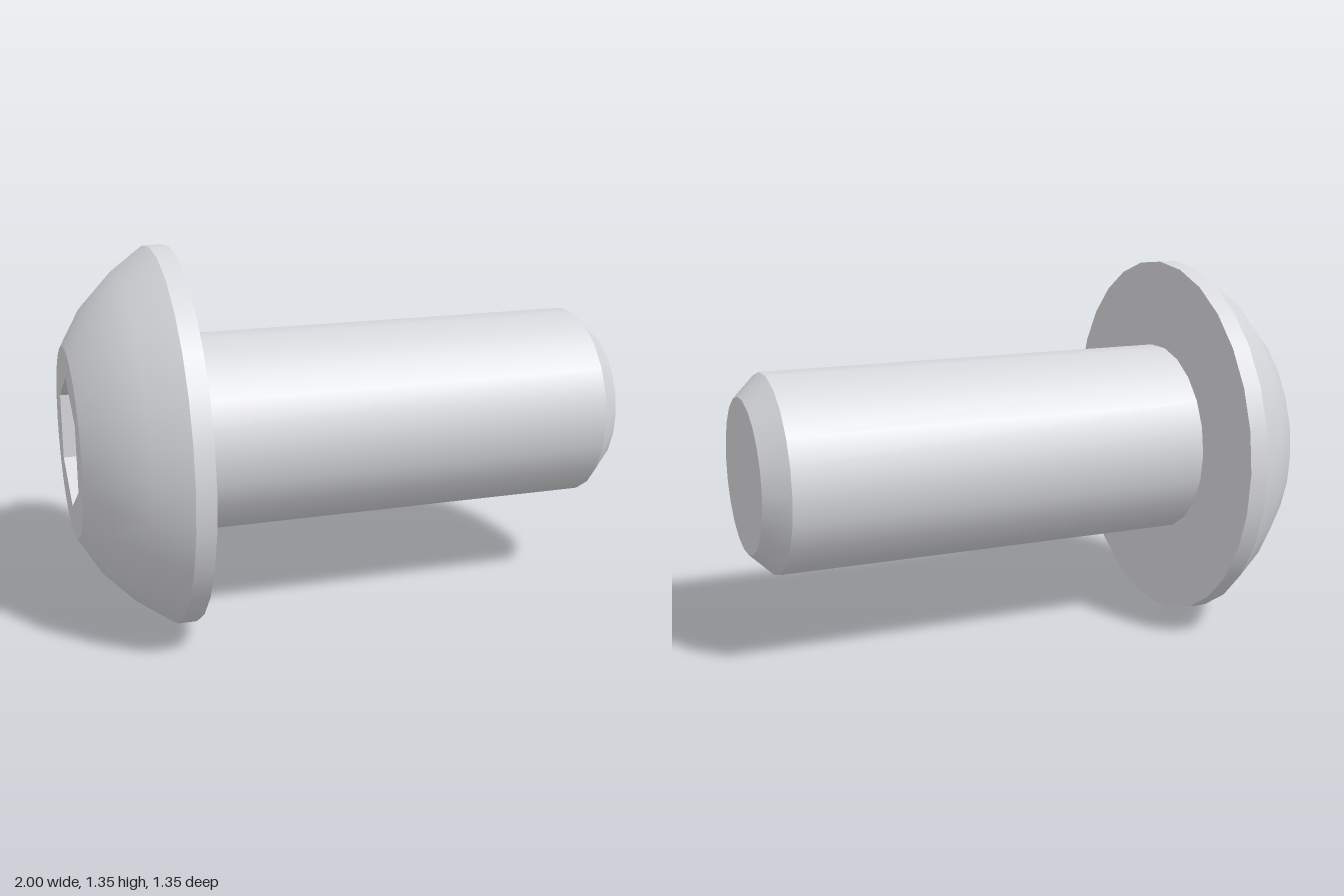
import * as THREE from 'three';

const HEAD_SIDES = 28, SHANK_SIDES = 22;
const HEAD_R = 0.675, FACE_R = 0.34, SHANK_R = 0.355, TIP_R = 0.276;
const HEX_R = 0.237, HEX_DEPTH = 0.227;
const FACE_X = -1, RIM_X = -0.69, SEAT_X = -0.622, CHAMFER_X = 0.918, TIP_X = 1;

export function createModel() {
  const steel = new THREE.MeshStandardMaterial({ color: 0xd7d8dc });
  steel.name = 'steel';
  const screw = new THREE.Group();
  screw.name = 'buttonHeadScrew';

  const add = (name, geometry) => {
    const mesh = new THREE.Mesh(geometry, steel);
    mesh.name = name;
    screw.add(mesh);
  };

  // Turned surface around the x axis; the profile is a list of [x, radius]
  const turn = (profile, sides, phi = 0) =>
    new THREE.LatheGeometry(profile.map(([x, r]) => new THREE.Vector2(r, x)), sides, phi)
      .rotateZ(-Math.PI / 2);

  // Turns a flat shape to face the head end and moves it to its place on the axis
  const faceHeadEnd = (geometry, x) => geometry.rotateY(-Math.PI / 2).translate(x, 0, 0);

  const ring = (radius, sides) => Array.from({ length: sides }, (_, i) => {
    const a = Math.PI / 2 + (i / sides) * Math.PI * 2;
    return new THREE.Vector2(radius * Math.cos(a), radius * Math.sin(a));
  });

  // Head: flat face with a hexagonal opening, dome, rim and underside
  const face = new THREE.Shape(ring(FACE_R, HEAD_SIDES));
  face.holes.push(new THREE.Path(ring(HEX_R, 6)));
  add('headFace', faceHeadEnd(new THREE.ShapeGeometry(face), FACE_X));
  add('headDome', turn([[FACE_X, FACE_R], [-0.92, 0.475], [-0.81, 0.588], [RIM_X, HEAD_R]], HEAD_SIDES));
  add('headRim', turn([[RIM_X, HEAD_R], [SEAT_X, HEAD_R]], HEAD_SIDES));
  add('headUnderside', turn([[SEAT_X, HEAD_R], [SEAT_X, SHANK_R - 0.02]], HEAD_SIDES));

  // Hexagonal socket: flat inward-facing walls and floor
  const floorX = FACE_X + HEX_DEPTH;
  const walls = turn([[floorX, HEX_R], [FACE_X, HEX_R]], 6, Math.PI / 2).toNonIndexed();
  walls.computeVertexNormals();
  add('socketWalls', walls);
  add('socketFloor', faceHeadEnd(new THREE.CircleGeometry(HEX_R, 6, Math.PI / 2), floorX));

  // Shank with chamfered tip
  add('shank', turn([[SEAT_X, SHANK_R], [CHAMFER_X, SHANK_R]], SHANK_SIDES));
  add('tipChamfer', turn([[CHAMFER_X, SHANK_R], [TIP_X, TIP_R]], SHANK_SIDES));
  add('tipFace', turn([[TIP_X, TIP_R], [TIP_X, 0]], SHANK_SIDES));

  screw.position.y = HEAD_R;
  const model = new THREE.Group();
  model.name = 'screw';
  model.add(screw);
  return model;
}
